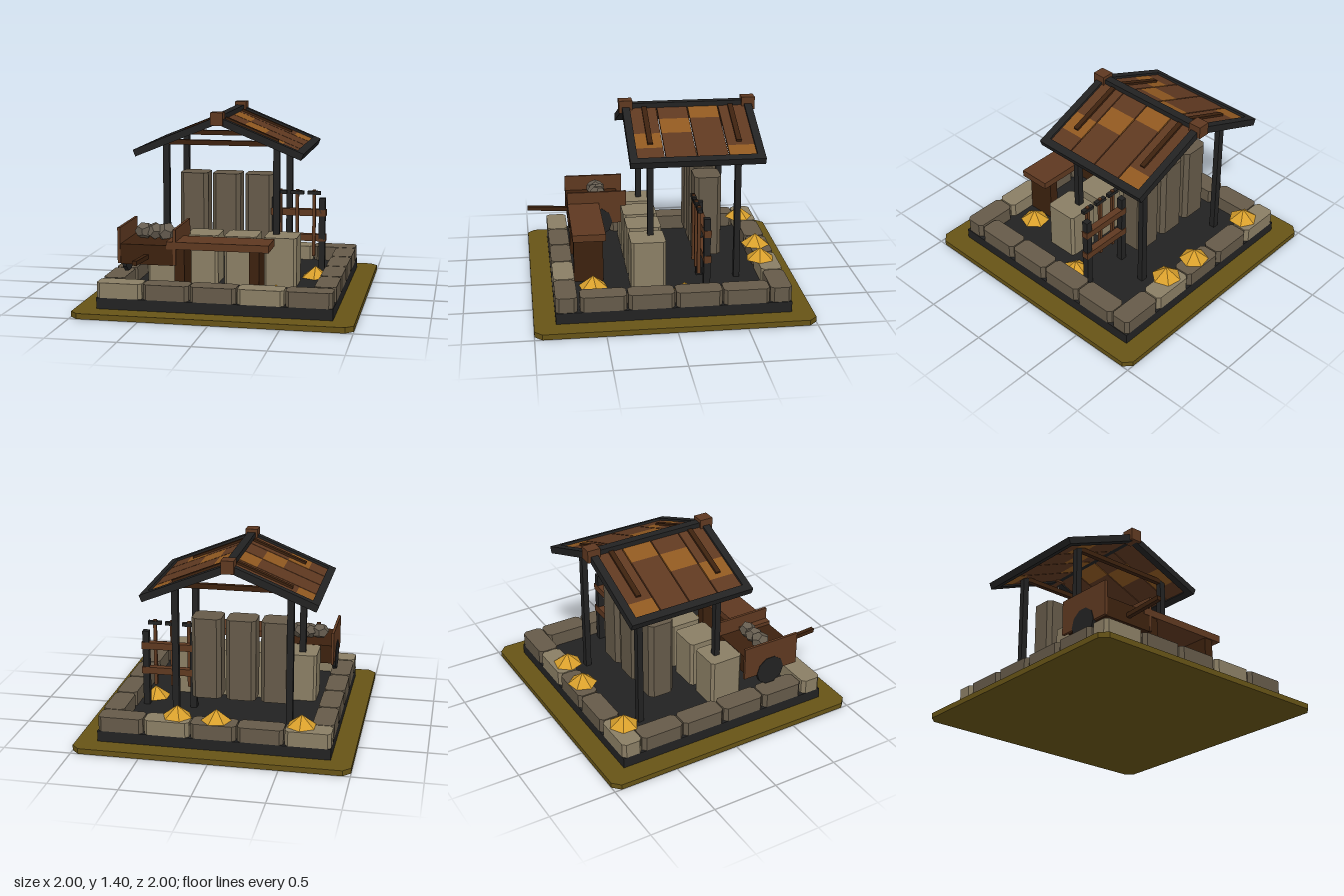
import * as THREE from 'three';

const mat = (name, color) => {
  const m = new THREE.MeshStandardMaterial({ color });
  m.name = name;
  return m;
};

export function createModel() {
  const M = {
    olive: mat('olive ground', 0x665316),
    black: mat('charcoal', 0x222222),
    stone: mat('dark stone', 0x655a49),
    pale: mat('pale stone', 0x8a7e64),
    wood: mat('brown wood', 0x5e3820),
    amber: mat('amber wood', 0x8f5820),
    dark: mat('dark wood', 0x3c210e),
    gold: mat('gold ore', 0xd9a02c),
    rock: mat('grey rock', 0x665d50),
  };
  const model = new THREE.Group();
  model.name = 'workshop';

  const group = (name, parent = model) => {
    const g = new THREE.Group();
    g.name = name;
    parent.add(g);
    return g;
  };
  const add = (parent, name, geo, material) => {
    const m = new THREE.Mesh(geo, material);
    m.name = name;
    parent.add(m);
    return m;
  };
  // Box given by its limits on each axis
  const box = (parent, name, material, x0, x1, y0, y1, z0, z1) => {
    const m = add(parent, name, new THREE.BoxGeometry(x1 - x0, y1 - y0, z1 - z0), material);
    m.position.set((x0 + x1) / 2, (y0 + y1) / 2, (z0 + z1) / 2);
    return m;
  };
  // Upright block with cut corners, given by its limits
  const block = (parent, name, material, x0, x1, y0, y1, z0, z1, c) => {
    const w = (x1 - x0) / 2, d = (z1 - z0) / 2;
    const pts = [[w - c, -d], [w, c - d], [w, d - c], [w - c, d], [c - w, d], [-w, d - c], [-w, c - d], [c - w, -d]];
    const shape = new THREE.Shape(pts.map(([x, y]) => new THREE.Vector2(x, y)));
    const geo = new THREE.ExtrudeGeometry(shape, { depth: y1 - y0, bevelEnabled: false });
    geo.rotateX(-Math.PI / 2);
    const m = add(parent, name, geo, material);
    m.position.set((x0 + x1) / 2, y0, (z0 + z1) / 2);
    return m;
  };

  // Ground plate and floor
  block(model, 'ground', M.olive, -1, 1, 0, 0.04, -1, 1, 0.055);
  box(model, 'floor', M.black, -0.845, 0.845, 0.04, 0.12, -0.845, 0.845);

  // Border of stone blocks
  const border = group('stoneBorder');
  for (let i = 0; i < 5; i++) {
    const a = -0.845 + i * 0.339, b = a + 0.329;
    for (const z of [-0.845, 0.69]) {
      block(border, 'borderBlock', i % 3 ? M.stone : M.pale, a, b, 0.12, 0.23, z, z + 0.155, 0.025);
    }
    if (i === 4) continue;
    const s = -0.683 + i * 0.341;
    for (const x of [-0.845, 0.69]) {
      block(border, 'borderBlock', M.stone, x, x + 0.155, 0.12, 0.23, s, s + 0.331, 0.025);
    }
  }

  // Tall standing slabs and low stone seats
  for (const x of [-0.49, -0.232, 0.025]) block(model, 'standingSlab', M.stone, x, x + 0.22, 0.265, 0.875, -0.425, -0.225, 0.03);
  for (const x of [-0.5, -0.205, 0.085, 0.383]) block(model, 'stoneSeat', M.pale, x - 0.122, x + 0.122, 0.12, 0.485, 0.02, 0.277, 0.02);

  // Posts and tie beams
  for (const z of [0.118, -0.528]) {
    for (const x of [-0.505, 0.332]) box(model, 'post', M.black, x - 0.024, x + 0.024, 0.12, 1.16, z - 0.022, z + 0.022);
    box(model, 'tieBeam', M.dark, -0.5, 0.33, 1.14, 1.177, z - 0.018, z + 0.018);
  }

  // Roof: two mirrored slopes; local +x runs down from the ridge
  const roof = group('roof');
  roof.position.set(-0.085, 1.34, -0.205);
  const pitch = Math.atan2(0.25, 0.615);
  for (const s of [1, -1]) {
    const side = group(s > 0 ? 'leftSlope' : 'rightSlope', roof);
    side.rotation.y = s > 0 ? 0 : Math.PI;
    const slope = group('slope', side);
    slope.rotation.z = -pitch;
    for (const z of [-0.458, 0.458]) box(slope, 'rafter', M.black, -0.01, 0.672, -0.025, 0.027, z - 0.028, z + 0.028);
    box(slope, 'eaveBeam', M.black, 0.622, 0.678, -0.025, 0.027, -0.486, 0.486);
    // Plank rows with one amber segment each
    [3, 0, 1, 2].forEach((lit, row) => {
      const z = s * (-0.345 + row * 0.23);
      for (let i = 0; i < 4; i++) {
        box(slope, 'roofPlank', i === lit ? M.amber : M.wood, i * 0.165, Math.min(0.635, (i + 1) * 0.165), -0.012, 0.01, z - 0.111, z + 0.111);
      }
    });
    for (const z of [0.323, -0.323]) box(slope, 'batten', M.dark, 0.03, 0.458, 0.01, 0.026, z - 0.019, z + 0.019);
  }
  box(roof, 'ridgeBeam', M.black, -0.03, 0.03, -0.02, 0.035, -0.48, 0.48);
  for (const z of [-0.46, 0.46]) box(roof, 'ridgeCap', M.wood, -0.046, 0.046, -0.035, 0.06, z - 0.05, z + 0.05);

  // Bench
  const bench = group('bench');
  box(bench, 'benchTop', M.wood, -0.37, 0.37, 0.46, 0.513, 0.448, 0.693);
  for (const x of [-0.275, 0.265]) box(bench, 'benchLeg', M.dark, x - 0.036, x + 0.036, 0.12, 0.46, 0.465, 0.683);

  // Hand cart with wheels, handle and rocks
  const cart = group('cart');
  box(cart, 'cartBed', M.dark, -0.705, -0.32, 0.34, 0.485, 0.28, 0.69);
  for (const x of [-0.717, -0.31]) {
    box(cart, 'sideBoard', M.wood, x - 0.01, x + 0.01, 0.345, 0.603, 0.235, 0.693);
    const wheel = add(cart, 'wheel', new THREE.CylinderGeometry(0.115, 0.115, 0.028, 10).toNonIndexed(), M.black);
    wheel.geometry.computeVertexNormals();
    wheel.rotation.z = Math.PI / 2;
    wheel.position.set(x, 0.355, 0.46);
  }
  const handle = add(cart, 'handle', new THREE.BoxGeometry(0.032, 0.032, 0.36), M.dark);
  handle.position.set(-0.515, 0.407, 0.82);
  handle.rotation.x = -0.06;
  [-0.59, -0.51, -0.43].forEach((x, i) => {
    const r = add(cart, 'rock', new THREE.DodecahedronGeometry(0.073), M.rock);
    r.scale.y = 0.82;
    r.rotation.set(i * 0.4, i * 0.9, 0);
    r.position.set(x, 0.543, 0.455);
  });

  // Tool rack with three hammers
  const rack = group('toolRack');
  for (const x of [0.263, 0.627]) box(rack, 'rackPost', M.black, x - 0.024, x + 0.024, 0.12, 0.703, -0.28, -0.232);
  for (const y of [0.59, 0.395]) box(rack, 'rackRail', M.wood, 0.232, 0.658, y - 0.026, y + 0.026, -0.285, -0.232);
  for (const x of [0.31, 0.44, 0.57]) {
    box(rack, 'hammerHandle', M.wood, x - 0.012, x + 0.012, 0.26, 0.775, -0.218, -0.194);
    box(rack, 'hammerHead', M.black, x - 0.05, x + 0.05, 0.738, 0.765, -0.222, -0.19);
  }

  // Faceted heaps of ore
  const heaps = [[-0.62, 0.23, -0.72], [-0.01, 0.23, -0.74], [0.28, 0.23, -0.72], [0.6, 0.12, -0.1], [0.4, 0.12, 0.55]];
  heaps.forEach(([x, y, z], i) => {
    const geo = new THREE.ConeGeometry(0.11, 0.085, 6, 1).toNonIndexed();
    geo.translate(0, 0.0425, 0);
    geo.computeVertexNormals();
    const heap = add(model, 'oreHeap', geo, M.gold);
    heap.position.set(x, y, z);
    heap.rotation.y = i * 0.7;
  });

  return model;
}
